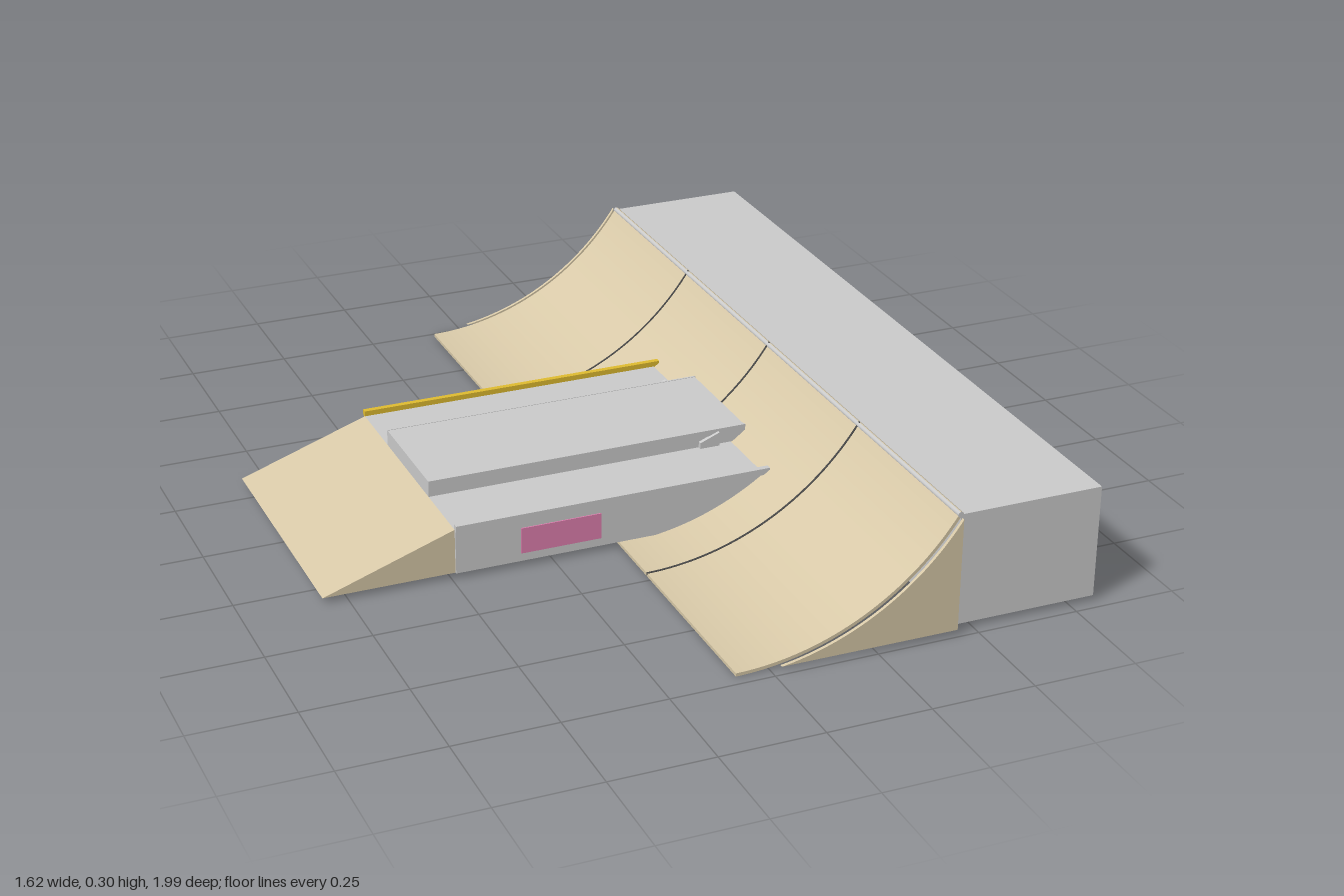
import * as THREE from 'three';

const mat = (color) => new THREE.MeshStandardMaterial({ color, side: THREE.DoubleSide });
const grey = mat(0xcccccc), wood = mat(0xd8c9a8), yellow = mat(0xe0bc30);
const pink = mat(0xe080b0), blue = mat(0x5aa5c8), dark = mat(0x444444);

export function createModel() {
  const group = new THREE.Group();

  const add = (name, geometry, material) => {
    const mesh = new THREE.Mesh(geometry, material);
    mesh.name = name;
    group.add(mesh);
    return mesh;
  };
  // Box given by its limits on each axis
  const box = (name, material, x0, x1, y0, y1, z0, z1) =>
    add(name, new THREE.BoxGeometry(x1 - x0, y1 - y0, z1 - z0), material)
      .position.set((x0 + x1) / 2, (y0 + y1) / 2, (z0 + z1) / 2);
  // Side profile extruded from z0 to z1
  const extrude = (name, material, points, z0, z1) => {
    const shape = new THREE.Shape(points.map(([x, y]) => new THREE.Vector2(x, y)));
    const geometry = new THREE.ExtrudeGeometry(shape, { depth: z1 - z0, bevelEnabled: false });
    add(name, geometry, material).position.z = z0;
  };

  // Circular transition of the quarter pipe, shifted along its normal
  const radius = 0.64, startX = -0.08, baseY = 0.008, sweep = 0.99;
  const arc = (shift) => Array.from({ length: 33 }, (_, i) => {
    const a = sweep * i / 32, r = radius + shift;
    return [startX + r * Math.sin(a), baseY + radius - r * Math.cos(a)];
  });
  const skin = [...arc(0), ...arc(0.008).reverse()];

  // Riding surface in four sections with seam strips between them
  const seams = [-0.985, -0.5, -0.01, 0.48, 0.97];
  for (let i = 0; i < 4; i++) {
    extrude('rampSurface', wood, skin, seams[i] + 0.001, seams[i + 1] - 0.001);
  }
  const strip = [...arc(-0.001), ...arc(0.007).reverse()];
  for (const z of seams.slice(1, 4)) extrude('rampSeam', dark, strip, z - 0.003, z + 0.003);

  // Thin end panels under the curve
  const panel = [...arc(0).filter(([x, y]) => x < 0.45 && y > 0.014), [0.45, 0.29], [0.45, 0.014]];
  for (const z of [-1, 0.985]) extrude('rampEndPanel', wood, panel, z, z + 0.008);

  // Platform and its coping
  box('platform', grey, 0.455, 0.81, 0.014, 0.29, -0.985, 0.97);
  const coping = add('platformCoping', new THREE.CylinderGeometry(0.007, 0.007, 1.955, 12), grey);
  coping.rotation.x = Math.PI / 2;
  coping.position.set(0.455, 0.289, -0.0075);

  // Grind box with a raised ledge
  box('grindBox', grey, -0.49, 0.285, 0.014, 0.125, -0.33, 0.325);
  box('ledge', grey, -0.49, 0.32, 0.125, 0.165, -0.155, 0.142);
  box('ledgeEdge', grey, -0.49, 0.322, 0.15, 0.166, -0.157, -0.152);
  box('ledgeEdge', grey, -0.49, 0.322, 0.15, 0.166, 0.139, 0.144);
  extrude('ledgeBracket', grey, [[0.2, 0.125], [0.25, 0.125], [0.25, 0.16], [0.2, 0.14]], -0.178, -0.155);
  extrude('ledgeBracket', grey, [[0.2, 0.125], [0.25, 0.125], [0.25, 0.16], [0.2, 0.14]], 0.142, 0.152);

  // Edge rails of the grind box
  box('yellowRail', yellow, -0.49, 0.3, 0.122, 0.138, -0.343, -0.329);
  box('greyRail', grey, -0.49, 0.3, 0.122, 0.138, 0.317, 0.331);

  // Coloured side panels
  box('pinkPanel', pink, -0.33, -0.13, 0.035, 0.1, 0.324, 0.328);
  box('bluePanel', blue, 0.03, 0.24, 0.035, 0.1, -0.333, -0.329);

  // Approach ramp, hollow beneath, with a support block
  const wedge = [[-0.81, 0.014], [-0.49, 0.014], [-0.49, 0.125]];
  extrude('approachSurface', wood, [[-0.81, 0.014], [-0.787, 0.014], [-0.49, 0.117], [-0.49, 0.125]], -0.33, 0.32);
  for (const z of [-0.33, 0.316]) extrude('approachSide', wood, wedge, z, z + 0.004);
  box('approachSupport', grey, -0.58, -0.49, 0.02, 0.08, -0.15, 0.14);

  return group;
}
